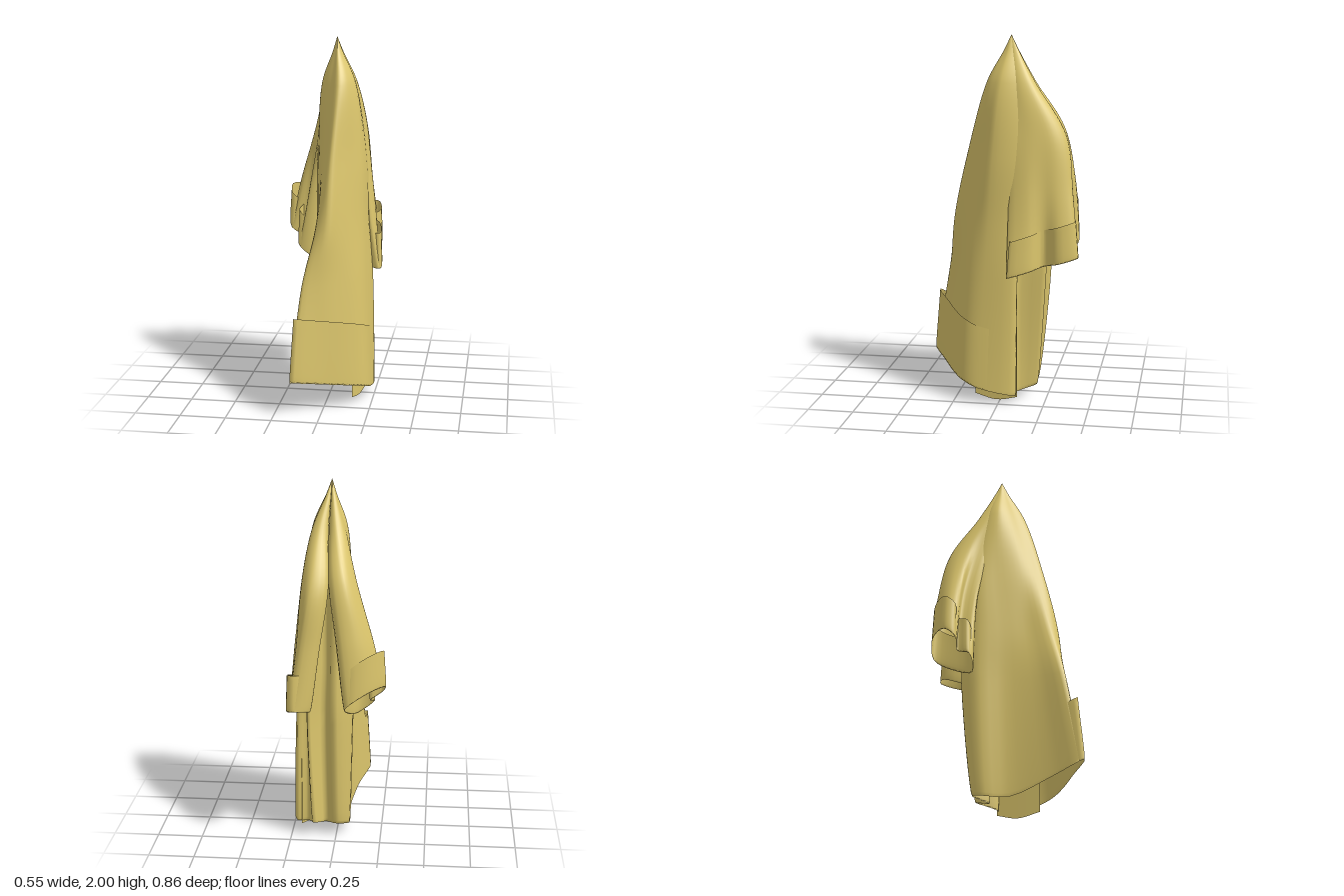
import * as THREE from 'three';

const cloth = new THREE.MeshStandardMaterial({ color: 0xdcc66c, side: THREE.DoubleSide });
const TIP = new THREE.Vector3(0.03, 2, -0.04); // hanging point

// Each section: { y, pts: [[x, z], ...] }, listed from the hem upward; a hem's y is a rule of x and z
const toRow = ({ y, pts }) =>
  pts.map(([x, z]) => new THREE.Vector3(x, typeof y === 'function' ? y(x, z) : y, z));
const gather = (row, t, y) => row.map(p => new THREE.Vector3().lerpVectors(TIP, p, t).setY(y));

// Lining: the hem turned inward and up
function lining(hem, height) {
  const mid = hem.reduce((s, p) => s.add(p), new THREE.Vector3()).divideScalar(hem.length);
  return hem.map(p => p.clone().lerp(mid, 0.08).setY(p.y + height));
}

// Lofts a draped cloth tube through the sections and gathers it at the hanging point
function drape(name, sections, liningHeight, perPoint = 4, perSection = 8) {
  const keys = sections.map(toRow);
  const top = keys[keys.length - 1];
  keys.unshift(lining(keys[0], liningHeight));
  keys.push(gather(top, 0.3, 1.92), gather(top, 0.01, 2));

  const cols = top.length * perPoint;
  const rows = (keys.length - 1) * perSection;
  const rings = keys.map(k => {
    const ring = new THREE.CatmullRomCurve3(k, true, 'centripetal');
    return Array.from({ length: cols }, (_, i) => ring.getPoint(i / cols));
  });

  const pos = [], idx = [];
  for (let i = 0; i < cols; i++) {
    const fold = new THREE.CatmullRomCurve3(rings.map(r => r[i]), false, 'centripetal');
    for (let j = 0; j <= rows; j++) pos.push(...fold.getPoint(j / rows).toArray());
  }
  const at = (i, j) => (i % cols) * (rows + 1) + j;
  for (let i = 0; i < cols; i++) {
    for (let j = 0; j < rows; j++) {
      const a = at(i, j), b = at(i + 1, j), c = at(i + 1, j + 1), d = at(i, j + 1);
      idx.push(a, b, c, a, c, d);
    }
  }
  const geo = new THREE.BufferGeometry();
  geo.setAttribute('position', new THREE.Float32BufferAttribute(pos, 3));
  geo.setIndex(idx);
  geo.computeVertexNormals();
  const mesh = new THREE.Mesh(geo, cloth);
  mesh.name = name;
  return mesh;
}

// Inner panel whose lower edge shows below the left hem
function innerPanel() {
  const edge = new THREE.CatmullRomCurve3([
    new THREE.Vector3(0.14, 0.02, 0.145), new THREE.Vector3(0.17, 0, 0.02), new THREE.Vector3(0.2, 0.03, -0.1)]);
  const geo = new THREE.PlaneGeometry(1, 1, 10, 4);
  const pos = geo.attributes.position, uv = geo.attributes.uv;
  for (let i = 0; i < pos.count; i++) {
    const p = edge.getPoint(uv.getX(i));
    pos.setXYZ(i, p.x, p.y + 0.4 * uv.getY(i), p.z);
  }
  geo.computeVertexNormals();
  const mesh = new THREE.Mesh(geo, cloth);
  mesh.name = 'innerPanel';
  return mesh;
}

// Coat body: front edge, left side, tucked rear folds, right side
const body = [
  { y: (x, z) => 0.03 + 0.34 * Math.abs(z + 0.04), pts: [[-.16, .43], [0, .345], [.13, .27], [.21, .2],
    [.24, .11], [.23, -.09], [.16, -.09], [.12, -.2], [.06, -.11], [0, -.19], [-.07, -.13], [-.055, .02], [-.1, .25]] },
  { y: 0.7, pts: [[-.11, .325], [-.02, .31], [.09, .24], [.17, .17], [.21, .08], [.22, -.1],
    [.16, -.09], [.15, -.25], [.07, -.13], [.01, -.26], [-.09, -.17], [-.06, 0], [-.07, .18]] },
  { y: 1, pts: [[-.045, .245], [.02, .28], [.08, .22], [.15, .14], [.195, .06], [.2, -.1],
    [.16, -.13], [.14, -.26], [.06, -.14], [.01, -.26], [-.095, -.17], [-.068, 0], [-.045, .13]] },
  { y: 1.35, pts: [[-.01, .155], [.03, .205], [.08, .16], [.135, .1], [.18, .04], [.187, -.12],
    [.15, -.2], [.12, -.26], [.06, -.15], [0, -.25], [-.09, -.16], [-.075, -.04], [-.045, .08]] },
  { y: 1.75, pts: [[.01, .045], [.05, .09], [.085, .075], [.115, .04], [.135, 0], [.12, -.1],
    [.1, -.14], [.08, -.15], [.045, -.08], [.01, -.14], [-.04, -.11], [-.055, -.05], [-.03, 0]] },
];

// Left sleeve: front edge (tucked into the body higher up), outer side, back, inner side
const leftSleeve = [
  { y: (x, z) => 0.7 - 0.3 * z, pts: [[.27, -.05], [.26, -.17], [.2, -.24], [.25, -.33],
    [.22, -.43], [.13, -.39], [.14, -.25], [.18, -.1]] },
  { y: 1.15, pts: [[.195, -.05], [.222, -.15], [.2, -.24], [.2, -.32],
    [.17, -.39], [.08, -.37], [.09, -.24], [.14, -.1]] },
  { y: 1.47, pts: [[.155, -.04], [.18, -.13], [.18, -.22], [.165, -.3],
    [.12, -.35], [.035, -.32], [.05, -.2], [.11, -.06]] },
  { y: 1.75, pts: [[.1, -.04], [.125, -.08], [.13, -.12], [.12, -.16],
    [.09, -.18], [.05, -.16], [.045, -.1], [.07, -.04]] },
];

// Right sleeve: same order, so its loops are reversed to face outward
const rightSleeve = [
  { y: (x, z) => 0.535 - 0.79 * x - 0.65 * z, pts: [[-.21, -.17], [-.19, -.24], [-.26, -.235], [-.27, -.295],
    [-.18, -.38], [-.07, -.4], [-.07, -.3], [-.12, -.17]] },
  { y: 1.2, pts: [[-.13, -.15], [-.14, -.22], [-.19, -.23], [-.2, -.29],
    [-.13, -.37], [-.03, -.375], [-.01, -.27], [-.08, -.16]] },
  { y: 1.5, pts: [[-.07, -.1], [-.09, -.16], [-.11, -.2], [-.105, -.26],
    [-.06, -.32], [.01, -.31], [.035, -.22], [-.02, -.1]] },
  { y: 1.75, pts: [[-.035, -.06], [-.045, -.09], [-.045, -.12], [-.035, -.15],
    [0, -.17], [.03, -.15], [.04, -.1], [0, -.05]] },
].map(s => ({ y: s.y, pts: s.pts.reverse() }));

export function createModel() {
  const coat = new THREE.Group();
  coat.name = 'hangingCoat';
  coat.add(
    drape('coatBody', body, 0.35),
    drape('leftSleeve', leftSleeve, 0.2),
    drape('rightSleeve', rightSleeve, 0.2),
    innerPanel(),
  );
  return coat;
}
